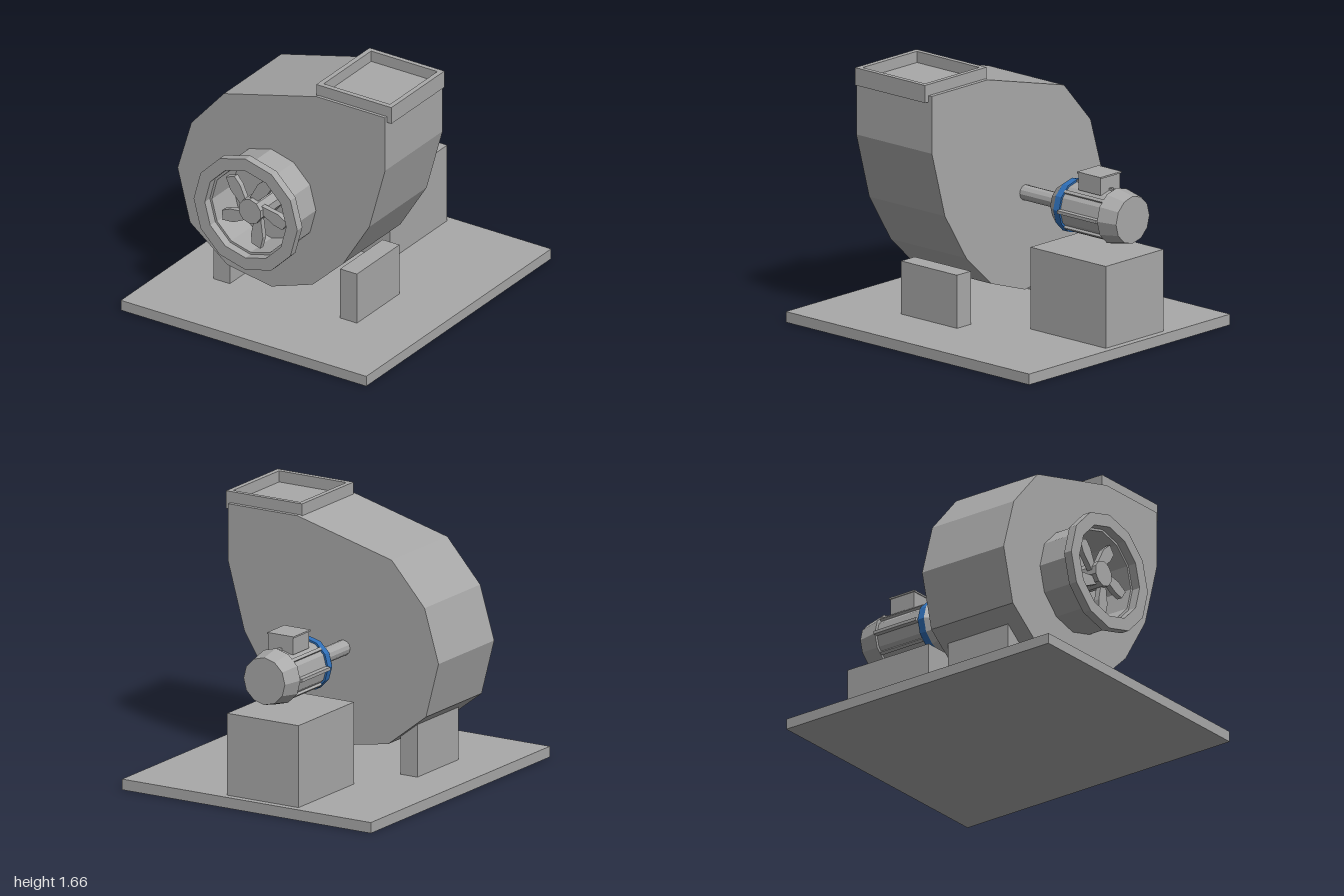
import * as THREE from 'three';

const AX = -0.09, AY = 0.815; // shared axis of inlet, fan, shaft and motor

export function createModel() {
  const model = new THREE.Group();
  model.name = 'centrifugalBlower';
  const grey = new THREE.MeshStandardMaterial({ color: 0xa8a8a8 });
  grey.name = 'machine grey';
  const blue = new THREE.MeshStandardMaterial({ color: 0x2f6fb8 });
  blue.name = 'motor blue';

  const add = (name, geometry, material = grey, parent = model) => {
    const mesh = new THREE.Mesh(geometry, material);
    mesh.name = name;
    parent.add(mesh);
    return mesh;
  };
  // Box given by its limits on each axis
  const box = (name, x0, x1, y0, y1, z0, z1, parent = model) => {
    const g = new THREE.BoxGeometry(x1 - x0, y1 - y0, z1 - z0);
    g.translate((x0 + x1) / 2, (y0 + y1) / 2, (z0 + z1) / 2);
    return add(name, g, grey, parent);
  };
  // Faceted solid of revolution about the machine axis; points are [radius, z], z rising on the outside
  const turned = (name, points, material = grey, sides = 12) => {
    let g = new THREE.LatheGeometry(points.map(([r, z]) => new THREE.Vector2(r, z)), sides);
    g.rotateX(Math.PI / 2);
    g.translate(AX, AY, 0);
    g = g.toNonIndexed();
    g.computeVertexNormals();
    return add(name, g, material);
  };
  const shapeOf = (pts) => new THREE.Shape(pts.map(([x, y]) => new THREE.Vector2(x, y)));
  const extrude = (shape, depth) => new THREE.ExtrudeGeometry(shape, { depth, bevelEnabled: false });

  // Base and supports
  box('basePlate', -0.89, 0.89, 0, 0.067, -1, 1);
  box('rightHousingLeg', -0.585, -0.465, 0.067, 0.4, -0.005, 0.455);
  box('leftHousingLeg', 0.335, 0.457, 0.067, 0.4, -0.005, 0.455);
  box('motorPedestal', -0.345, 0.165, 0.067, 0.58, -0.957, -0.337);

  // Volute housing
  const volute = shapeOf([
    [-0.77, 0.815], [-0.68, 0.47], [-0.41, 0.26], [-0.09, 0.205], [0.21, 0.305], [0.43, 0.51],
    [0.62, 0.815], [0.735, 1.23], [0.735, 1.59], [0.24, 1.59], [-0.435, 1.415], [-0.67, 1.15],
  ]);
  const voluteGeometry = extrude(volute, 0.622);
  voluteGeometry.translate(0, 0, -0.057);
  add('voluteHousing', voluteGeometry);

  // Outlet frame, open in the middle
  const frame = shapeOf([[0.223, -0.545], [0.767, -0.545], [0.767, 0.03], [0.223, 0.03]]);
  frame.holes.push(new THREE.Path([
    [0.255, 0], [0.735, 0], [0.735, -0.512], [0.255, -0.512],
  ].map(([x, y]) => new THREE.Vector2(x, y))));
  const frameGeometry = extrude(frame, 0.11);
  frameGeometry.rotateX(-Math.PI / 2);
  frameGeometry.translate(0, 1.55, 0);
  add('outletFrame', frameGeometry);

  // Inlet neck with flange and stepped bore
  turned('inletNeck', [
    [0.323, 0.56], [0.323, 0.79], [0.376, 0.79], [0.376, 0.845],
    [0.295, 0.845], [0.295, 0.79], [0.28, 0.79], [0.28, 0.56],
  ]);

  // Fan
  const fan = new THREE.Group();
  fan.name = 'fan';
  fan.position.set(AX, AY, 0);
  model.add(fan);
  const hub = new THREE.CylinderGeometry(0.082, 0.082, 0.24, 10).toNonIndexed();
  hub.rotateX(Math.PI / 2);
  hub.translate(0, 0, 0.68);
  hub.computeVertexNormals();
  add('fanHub', hub, grey, fan);
  const blade = shapeOf([
    [0.01, -0.07], [-0.01, -0.167], [-0.005, -0.229], [0.057, -0.248], [0.076, -0.171], [0.06, -0.05],
  ]);
  const bladeGeometry = extrude(blade, 0.035);
  bladeGeometry.translate(0, 0, 0.735);
  for (let i = 0; i < 5; i++) {
    add('fanBlade', bladeGeometry, grey, fan).rotation.z = (i * Math.PI * 2) / 5;
  }

  // Drive shaft and motor
  turned('driveShaft', [[0.048, -0.38], [0.048, -0.05]]);
  turned('motorRearCover', [[0, -0.942], [0.148, -0.942], [0.175, -0.81], [0, -0.81]]);
  turned('motorBody', [[0.155, -0.815], [0.155, -0.488]]);
  turned('motorBand', [[0, -0.49], [0.167, -0.49], [0.167, -0.443]], blue);
  turned('motorFrontCover', [[0.167, -0.443], [0.115, -0.37], [0, -0.37]]);

  // Cooling fins around the motor body
  const fins = new THREE.Group();
  fins.name = 'motorFins';
  fins.position.set(AX, AY, 0);
  model.add(fins);
  for (let i = 0; i < 8; i++) {
    const outer = i % 4 === 0 ? 0.186 : 0.166;
    box('motorFin', 0.13, outer, -0.01, 0.01, -0.812, -0.49, fins).rotation.z = (i * Math.PI) / 4;
  }

  // Terminal box on the motor
  box('terminalBox', AX - 0.088, AX + 0.088, 0.95, 1.055, -0.757, -0.578);
  box('terminalBoxLid', AX - 0.094, AX + 0.094, 1.055, 1.065, -0.763, -0.572);

  return model;
}
